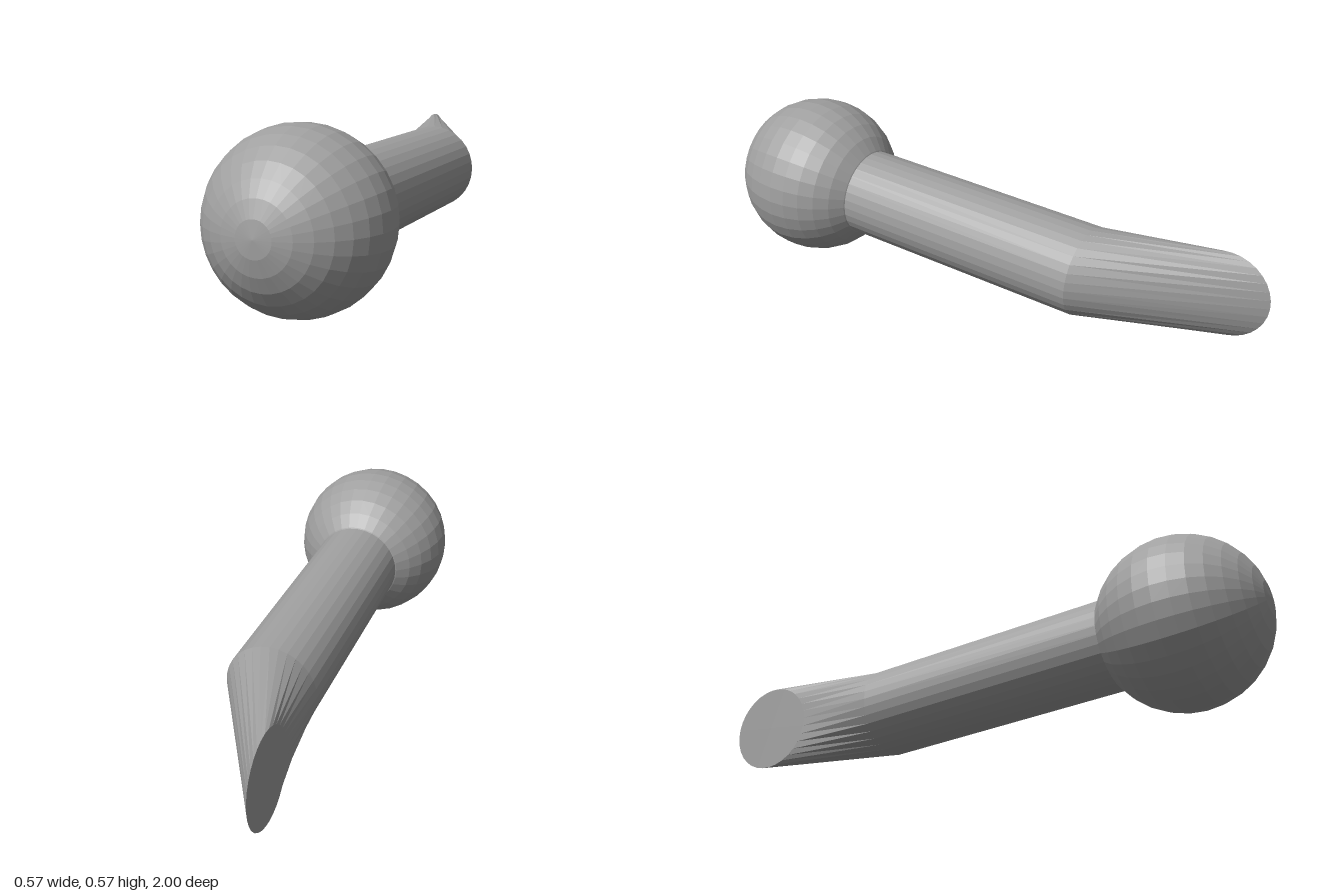
import * as THREE from 'three';

const BALL_R = 0.284, R = 0.154, SIDES = 32;
const JOINT_Z = -1.137, TIP_Z = -1.716; // measured from the ball centre

// Ring of points around the shaft, start to end counter-clockwise seen from +z
function ring(place) {
  return Array.from({ length: SIDES }, (_, i) => {
    const a = (i / SIDES) * Math.PI * 2;
    return place(R * Math.cos(a), R * Math.sin(a));
  });
}

// Skin between two rings
function loft(a, b) {
  const pos = [];
  for (let i = 0; i < SIDES; i++) {
    const j = (i + 1) % SIDES;
    pos.push(...a[i], ...b[i], ...a[j], ...b[i], ...b[j], ...a[j]);
  }
  return toGeometry(pos);
}

// Flat disc closing a ring
function cap(a, centre) {
  const pos = [];
  for (let i = 0; i < SIDES; i++) pos.push(...centre, ...a[(i + 1) % SIDES], ...a[i]);
  return toGeometry(pos);
}

function toGeometry(pos) {
  const g = new THREE.BufferGeometry();
  g.setAttribute('position', new THREE.Float32BufferAttribute(pos, 3));
  g.computeVertexNormals();
  return g;
}

export function createModel() {
  const grey = new THREE.MeshStandardMaterial({ color: 0xa0a0a0, flatShading: true, side: THREE.DoubleSide });
  grey.name = 'grey';
  const model = new THREE.Group();
  model.name = 'ballStud';
  const add = (name, geometry) => {
    const mesh = new THREE.Mesh(geometry, grey);
    mesh.name = name;
    model.add(mesh);
  };

  // Ball with its pole along the shaft
  add('ball', new THREE.SphereGeometry(BALL_R, SIDES, 16).rotateX(Math.PI / 2));

  // Straight shaft, then an elbow turning to a disc that faces sideways
  const start = ring((x, y) => [x, y, -0.1]);
  const joint = ring((x, y) => [x, y, JOINT_Z]);
  const mouth = ring((x, y) => [-R, y, TIP_Z + R - x]);
  add('shaft', loft(start, joint));
  add('elbow', loft(joint, mouth));
  add('endFace', cap(mouth, [-R, 0, TIP_Z + R]));

  // Rest on the ball with the shaft sloping slightly down to the back
  model.rotation.x = -0.056;
  model.position.set(0, BALL_R, 1 - BALL_R);
  const root = new THREE.Group();
  root.name = 'model';
  root.add(model);
  return root;
}
